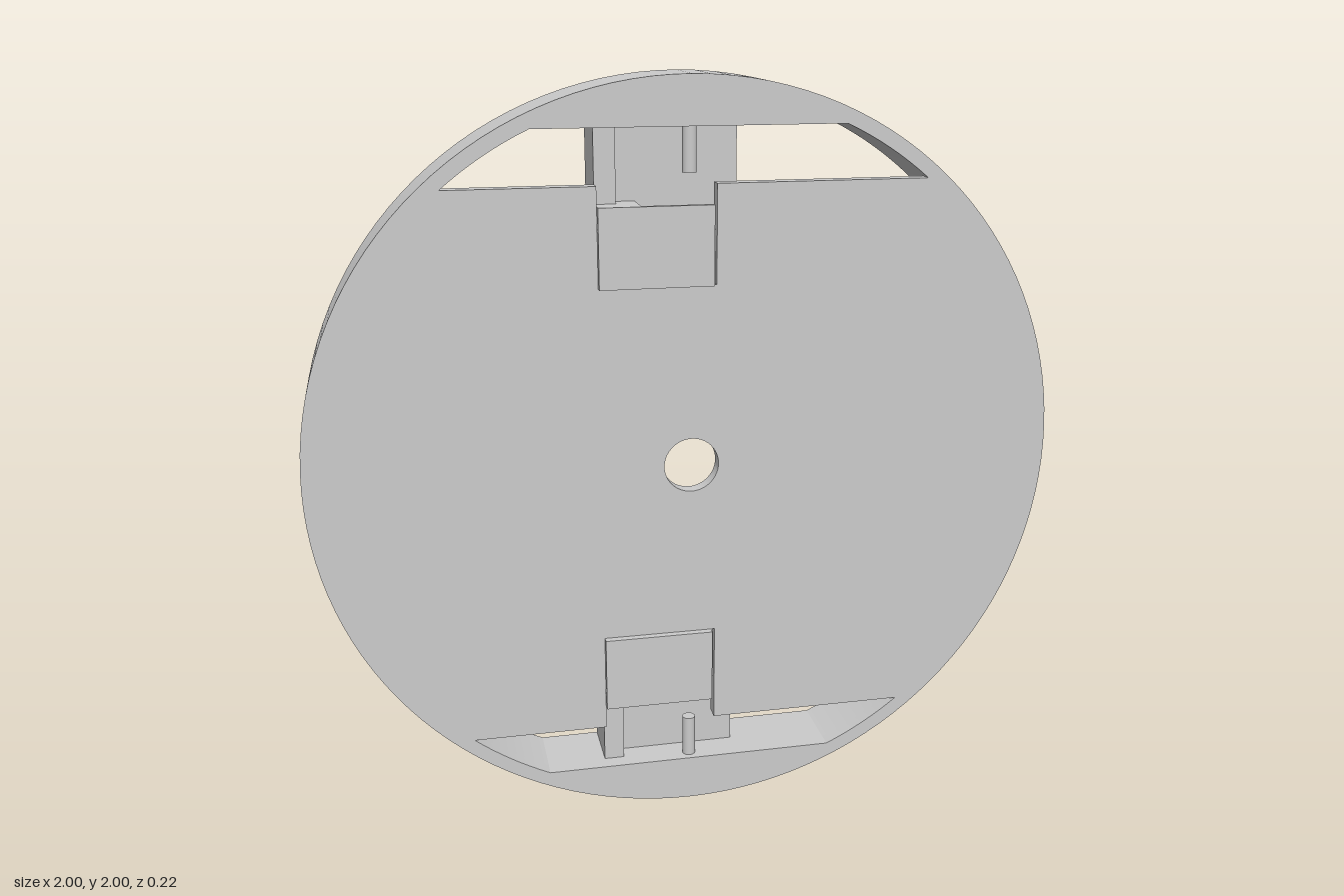
import * as THREE from 'three';
import { toCreasedNormals } from 'three/addons/utils/BufferGeometryUtils.js';

const R = 1;          // outer radius
const RI = 0.962;     // inner rim radius
const FLAT = 0.875;   // distance of the inner flats from the centre
const BACK = -0.11, PLATE_BACK = 0.05, FRONT = 0.09;

export function createModel() {
  const model = new THREE.Group();
  const material = new THREE.MeshStandardMaterial({ color: 0xcccccc });

  const add = (name, geometry, x = 0, y = 0, z = 0) => {
    const mesh = new THREE.Mesh(geometry, material);
    mesh.name = name;
    mesh.position.set(x, y, z);
    model.add(mesh);
    return mesh;
  };
  const extrude = (shape, z0, z1) => {
    const g = new THREE.ExtrudeGeometry(shape, { depth: z1 - z0, bevelEnabled: false, curveSegments: 64 });
    return toCreasedNormals(g.translate(0, 0, z0), 0.4);
  };
  const disc = () => new THREE.Shape().absarc(0, 0, R, 0, Math.PI * 2);
  const circle = (x, y, r) => new THREE.Path(
    new THREE.Path().absarc(x, y, r, 0, Math.PI * 2, true).getPoints(r > 0.05 ? 24 : 6));

  // Rim: a ring whose round bore is cut by four flats, with small screw holes
  const rim = disc();
  const bore = new THREE.Path();
  const half = Math.asin(FLAT / RI) - Math.PI / 4;
  for (let i = 0; i < 4; i++) {
    const mid = Math.PI / 4 + i * Math.PI / 2;
    bore.absarc(0, 0, RI, mid - half, mid + half);
  }
  bore.closePath();
  rim.holes.push(bore);
  for (let i = 0; i < 4; i++) {
    for (const deg of [30, 60]) {
      const a = THREE.MathUtils.degToRad(deg + i * 90);
      rim.holes.push(circle(0.979 * Math.cos(a), 0.979 * Math.sin(a), 0.011));
    }
  }
  add('rim', extrude(rim, BACK, PLATE_BACK), 0, 1, 0);

  // Front plate: centre hole, plus a notched slot at top and bottom
  const plate = disc();
  plate.holes.push(circle(0, 0, 0.073));
  for (const s of [1, -1]) {
    const edge = s > 0 ? 0.735 : 0.75;
    const pts = [[-0.24, edge], [-0.24, 0.48], [0.065, 0.48], [0.065, edge]];
    const a0 = Math.asin(edge / RI), a1 = Math.asin(FLAT / RI);
    const arc = [];
    for (let i = 0; i <= 8; i++) {
      const a = a0 + (a1 - a0) * i / 8;
      arc.push([RI * Math.cos(a), RI * Math.sin(a)]);
    }
    pts.push(...arc, ...arc.map(([x, y]) => [-x, y]).reverse());
    plate.holes.push(new THREE.Path(pts.map(([x, y]) => new THREE.Vector2(x, y * s))));
  }
  add('frontPlate', extrude(plate, PLATE_BACK, FRONT), 0, 1, 0);

  // Latch units, mirrored above and below the centre (heights from the centre)
  for (const s of [1, -1]) {
    const box = (name, x0, x1, y0, y1, z0, z1) => add(name,
      new THREE.BoxGeometry(x1 - x0, y1 - y0, z1 - z0),
      (x0 + x1) / 2, 1 + s * (y0 + y1) / 2, (z0 + z1) / 2);
    const side = s > 0 ? 'upper' : 'lower';

    box(side + 'Block', -0.24, 0.135, 0.48, FLAT, -0.105, 0);
    box(side + 'SideStrip', -0.24, -0.185, 0.685, FLAT, 0, 0.045);
    // Latch body with a narrow sideways gap near its outer end
    box(side + 'LatchBody', -0.24, 0.06, 0.48, 0.622, 0, 0.096);
    box(side + 'LatchEnd', -0.24, -0.13, 0.65, 0.685, 0, 0.096);
    box(side + 'LatchNeck', -0.24, -0.13, 0.622, 0.65, 0, 0.05);
    box(side + 'LatchFlap', -0.24, 0.055, 0.48, 0.685, 0.096, 0.11);
    // Pin reaching through the rim
    add(side + 'Pin', new THREE.CylinderGeometry(0.018, 0.018, 0.235, 20), 0, 1 + s * 0.8775, 0.055);
  }
  return model;
}
